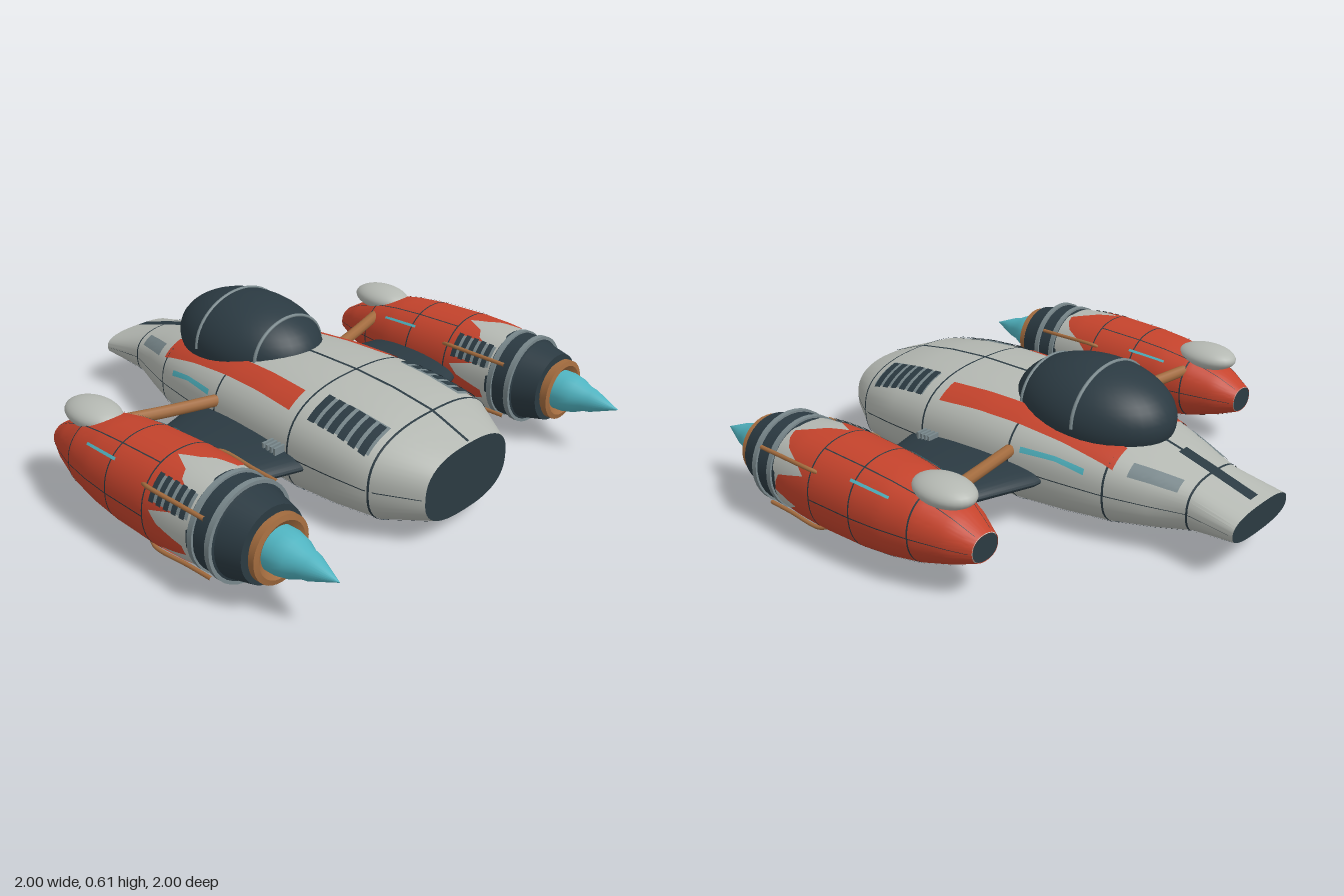
import * as THREE from 'three';
import { toCreasedNormals } from 'three/addons/utils/BufferGeometryUtils.js';

const { lerp } = THREE.MathUtils;
const TAU = Math.PI * 2;

function mat(name, color, side = THREE.FrontSide) {
  const m = new THREE.MeshStandardMaterial({ color, side });
  m.name = name;
  return m;
}

// Surface from a rule fn(u, v) -> [x, y, z]
function grid(fn, nu, nv) {
  const pos = [], idx = [];
  for (let j = 0; j <= nv; j++) for (let i = 0; i <= nu; i++) pos.push(...fn(i / nu, j / nv));
  for (let j = 0; j < nv; j++) for (let i = 0; i < nu; i++) {
    const a = j * (nu + 1) + i, b = a + nu + 1;
    idx.push(a, a + 1, b, a + 1, b + 1, b);
  }
  const g = new THREE.BufferGeometry();
  g.setAttribute('position', new THREE.Float32BufferAttribute(pos, 3));
  g.setIndex(idx);
  return toCreasedNormals(g, 0.5);
}

// Superelliptic body along z; stations are [z, half width, bottom, top]
function makeBody(stations, n) {
  const at = (z) => {
    let i = 0;
    while (i < stations.length - 2 && z > stations[i + 1][0]) i++;
    const a = stations[i], b = stations[i + 1], t = (z - a[0]) / (b[0] - a[0]);
    const [w, lo, hi] = [1, 2, 3].map((k) => lerp(a[k], b[k], t));
    return { w, h: (hi - lo) / 2, cy: (hi + lo) / 2 };
  };
  const point = (z, ang, off = 0) => {
    const s = at(z), c = Math.cos(ang), d = Math.sin(ang);
    const r = (Math.abs(c) ** n + Math.abs(d) ** n) ** (-1 / n);
    return [(s.w + off) * r * c, s.cy + (s.h + off) * r * d, z];
  };
  // angle on the upper side at a given x
  const angle = (z, x) => {
    const f = Math.max(-1, Math.min(1, x / at(z).w));
    return Math.atan2((1 - Math.abs(f) ** n) ** (1 / n), f);
  };
  const shell = () => grid((u, v) => {
    const k = v * (stations.length - 1);
    return point(stations[Math.round(k)][0], u * TAU);
  }, 56, stations.length - 1);
  const patch = (z0, z1, a0, a1, off = 0.004, nu = 6, nv = 20) => grid((u, v) => {
    const z = lerp(z0, z1, v);
    return point(z, lerp(a0(z), a1(z), u), off);
  }, nu, nv);
  const ring = (z, half = 0.004) => patch(z - half, z + half, () => 0, () => TAU, 0.003, 56, 2);
  const seam = (z0, z1, ang, half = 0.015) => patch(z0, z1, () => ang - half, () => ang + half, 0.003, 1, 40);
  const cap = (z, front) => grid((u, v) => {
    const p = point(z, u * TAU), k = front ? 1 - v : v, s = at(z);
    return [p[0] * k, lerp(s.cy, p[1], k), z];
  }, 56, 1);
  return { at, point, angle, shell, patch, ring, seam, cap };
}

// Turned part with its axis along z; points are [radius, z]
const turned = (pts, seg = 36) => toCreasedNormals(
  new THREE.LatheGeometry(pts.map(([r, z]) => new THREE.Vector2(r, z)), seg).rotateX(Math.PI / 2), 0.5);

const rod = (pts, r) => new THREE.TubeGeometry(
  new THREE.CatmullRomCurve3(pts.map((p) => new THREE.Vector3(...p))), 28, r, 10);

export function createModel() {
  const grey = mat('hullGrey', 0xb4b8b2);
  const dark = mat('darkSlate', 0x2b3a42, THREE.DoubleSide);
  const red = mat('redPaint', 0xc4432c, THREE.DoubleSide);
  const copper = mat('copper', 0xa26b3e);
  const cyan = mat('cyanGlow', 0x50b4c1, THREE.DoubleSide);
  const steel = mat('steel', 0x78878b, THREE.DoubleSide);

  const model = new THREE.Group();
  const add = (parent, name, geo, material) => {
    const m = new THREE.Mesh(geo, material);
    m.name = name;
    parent.add(m);
    return m;
  };

  // Fuselage
  const fuselage = new THREE.Group();
  fuselage.name = 'fuselage';
  model.add(fuselage);
  const hull = makeBody([
    [-1, 0.183, 0.14, 0.25], [-0.8, 0.168, 0.1, 0.31], [-0.66, 0.218, 0.07, 0.35],
    [-0.5, 0.272, 0.046, 0.39], [-0.3, 0.314, 0.028, 0.425], [-0.1, 0.343, 0.016, 0.449],
    [0.1, 0.36, 0.01, 0.462], [0.33, 0.37, 0.008, 0.462], [0.52, 0.363, 0.018, 0.448],
    [0.7, 0.342, 0.036, 0.42], [0.87, 0.235, 0.08, 0.355]], 2.6);
  add(fuselage, 'hull', hull.shell(), grey);
  add(fuselage, 'nosePlate', hull.cap(0.87, true), dark);
  add(fuselage, 'tailPlate', hull.cap(-1, false), dark);
  for (const z of [-0.8, -0.5, -0.1, 0.33, 0.7]) add(fuselage, 'panelRing', hull.ring(z), dark);
  for (const a of [0, Math.PI, -0.75, -2.39, -Math.PI / 2])
    add(fuselage, 'panelSeam', hull.seam(-0.98, 0.86, a, 0.01), dark);

  // Painted strips on the upper hull, given by their x limits at both ends
  const strip = (name, z0, z1, near, far, material, off) => {
    for (const s of [-1, 1]) {
      const edge = (i) => (z) => hull.angle(z, s * lerp(near[i], far[i], (z - z0) / (z1 - z0)));
      const [a, b] = s > 0 ? [edge(1), edge(0)] : [edge(0), edge(1)];
      add(fuselage, name, hull.patch(z0, z1, a, b, off), material);
    }
  };
  strip('redStripe', -0.52, 0.285, [0.15, 0.238], [0.225, 0.312], red);
  strip('cyanStripe', -0.42, -0.15, [0.275, 0.283], [0.32, 0.328], cyan);
  strip('tailPanel', -0.755, -0.575, [0.12, 0.165], [0.18, 0.225], steel);
  strip('ventPanel', 0.38, 0.67, [0.2, 0.312], [0.19, 0.308], steel);
  for (let i = 0; i < 6; i++)
    strip('ventSlat', 0.382 + i * 0.049, 0.415 + i * 0.049, [0.198, 0.314], [0.198, 0.314], dark, 0.008);
  strip('spineSeam', 0, 0.865, [0, 0.006], [0, 0.006], dark);
  strip('tailSpine', -0.97, -0.66, [0, 0.025], [0, 0.025], dark, 0.006);
  strip('spineSeam', -0.66, -0.56, [0, 0.006], [0, 0.006], dark);

  // Canopy with two ribs
  const canopy = add(model, 'canopy', new THREE.SphereGeometry(1, 40, 24), dark);
  canopy.scale.set(0.24, 0.193, 0.345);
  canopy.position.set(0, 0.418, -0.252);
  for (const z of [-0.32, -0.035]) {
    const k = Math.sqrt(1 - ((z + 0.252) / 0.345) ** 2), pts = [];
    for (let i = 0; i <= 12; i++) {
      const a = (i / 12) * Math.PI;
      pts.push([0.24 * k * Math.cos(a), 0.418 + 0.193 * k * Math.sin(a), z]);
    }
    add(model, 'canopyRib', rod(pts, 0.007), steel);
  }

  // Wing through the hull; sections are [x, back z, front z, y]
  const wing = [[-0.8, -0.1, 0.27, 0.225], [-0.6, -0.165, 0.34, 0.215], [-0.35, -0.25, 0.415, 0.21],
    [0.35, -0.25, 0.415, 0.21], [0.6, -0.165, 0.34, 0.215], [0.8, -0.1, 0.27, 0.225]];
  add(model, 'wing', grid((u, v) => {
    const [x, b, f, y] = wing[Math.round(v * 5)], a = -u * TAU;
    return [x, y + 0.055 * Math.sin(a), (b + f) / 2 + ((f - b) / 2) * Math.cos(a)];
  }, 40, 5), dark);

  // Struts and root fins
  for (const s of [-1, 1]) {
    add(model, 'strut', rod([[s * 0.28, 0.295, -0.09], [s * 0.53, 0.308, -0.145], [s * 0.76, 0.325, -0.2]], 0.024), copper);
    for (let i = 0; i < 4; i++) {
      const fin = add(model, 'wingRootFin', new THREE.BoxGeometry(0.07, 0.03, 0.01), steel);
      fin.position.set(s * 0.382, 0.262, 0.25 + i * 0.02);
    }
  }

  // Engine pods
  const pod = makeBody([
    [-0.42, 0.062, 0.165, 0.265], [-0.33, 0.105, 0.13, 0.32], [-0.2, 0.148, 0.092, 0.375],
    [-0.07, 0.17, 0.068, 0.4], [0.06, 0.181, 0.054, 0.413], [0.27, 0.186, 0.048, 0.421],
    [0.4, 0.183, 0.052, 0.418], [0.49, 0.176, 0.06, 0.41]], 2.2);
  // front edge of the worn red paint, going round the pod
  const wear = [0.47, 0.45, 0.31, 0.36, 0.43, 0.46, 0.47, 0.4, 0.36, 0.29, 0.37, 0.39, 0.46, 0.47, 0.42, 0.3,
    0.34, 0.46, 0.47, 0.33, 0.31, 0.44, 0.48, 0.38, 0.32, 0.41, 0.47, 0.35, 0.3, 0.43, 0.37, 0.48];
  const paintEdge = (u) => {
    const k = u * wear.length, i = Math.floor(k);
    return lerp(wear[i % wear.length], wear[(i + 1) % wear.length], k - i);
  };
  const slat = (z, a, b, len, off) => pod.patch(z, z + len, () => a, () => b, off, 5, 4);

  for (const s of [-1, 1]) {
    const engine = new THREE.Group();
    engine.name = s > 0 ? 'leftEngine' : 'rightEngine';
    engine.position.x = s * 0.81;
    model.add(engine);
    add(engine, 'engineBody', pod.shell(), grey);
    add(engine, 'redCowl', grid((u, v) => pod.point(lerp(-0.42, paintEdge(u), v), u * TAU, 0.003), 96, 40), red);
    add(engine, 'engineTailPlate', pod.cap(-0.421, false), dark);
    for (const z of [-0.2, 0.06, 0.27]) {
      const line = add(engine, 'panelRing', pod.ring(z, 0.003), dark);
      line.scale.set(1.012, 1, 1);
      line.position.y = 0.0005;
    }
    for (let i = 0; i < 6; i++)
      add(engine, 'panelSeam', pod.patch(-0.41, 0.27, () => i * TAU / 6 - 0.012, () => i * TAU / 6 + 0.012, 0.006, 1, 30), dark);
    for (const a of [0.72, Math.PI - 0.72])
      add(engine, 'cyanStripe', pod.patch(-0.1, 0.08, () => a - 0.03, () => a + 0.03, 0.007), cyan);

    // Side vent
    add(engine, 'ventPanel', slat(0.3, 2.25, 2.75, 0.185, 0.006), steel);
    for (let i = 0; i < 5; i++) add(engine, 'ventSlat', slat(0.303 + i * 0.037, 2.23, 2.77, 0.023, 0.01), dark);

    // Collar, nozzle and flame
    const front = new THREE.Group();
    front.name = 'engineFront';
    front.position.y = 0.235;
    engine.add(front);
    add(front, 'collar', turned([[0.15, 0.47], [0.178, 0.48], [0.178, 0.6], [0.165, 0.605], [0.142, 0.705], [0, 0.705]]), dark);
    for (const [z, w] of [[0.495, 0.022], [0.58, 0.022]])
      add(front, 'collarBand', turned([[0.17, z], [0.186, z], [0.186, z + w], [0.17, z + w]]), steel);
    add(front, 'nozzle', turned([[0.09, 0.7], [0.11, 0.702], [0.11, 0.718], [0.125, 0.72], [0.125, 0.745],
      [0.105, 0.75], [0.084, 0.735], [0.08, 0.71]]), copper);
    add(front, 'flame', turned([[0.082, 0.71], [0.082, 0.77], [0.072, 0.815], [0.053, 0.855], [0.047, 0.885], [0, 1]], 24), cyan);

    // Fuel pipes beside the cowl
    for (const a of [0.58, Math.PI - 0.58, -0.76, Math.PI + 0.76])
      add(engine, 'pipe', rod([pod.point(0.24, a, -0.006), pod.point(0.28, a, 0.01),
        pod.point(0.45, a, 0.012), [pod.point(0.45, a, 0.01)[0], pod.point(0.45, a, 0.01)[1], 0.56]], 0.008), copper);

    // Sensor dome on top
    const dome = add(engine, 'sensorDome', new THREE.SphereGeometry(1, 28, 18), grey);
    dome.scale.set(0.09, 0.052, 0.136);
    dome.position.set(0, 0.372, -0.235);
  }
  return model;
}
